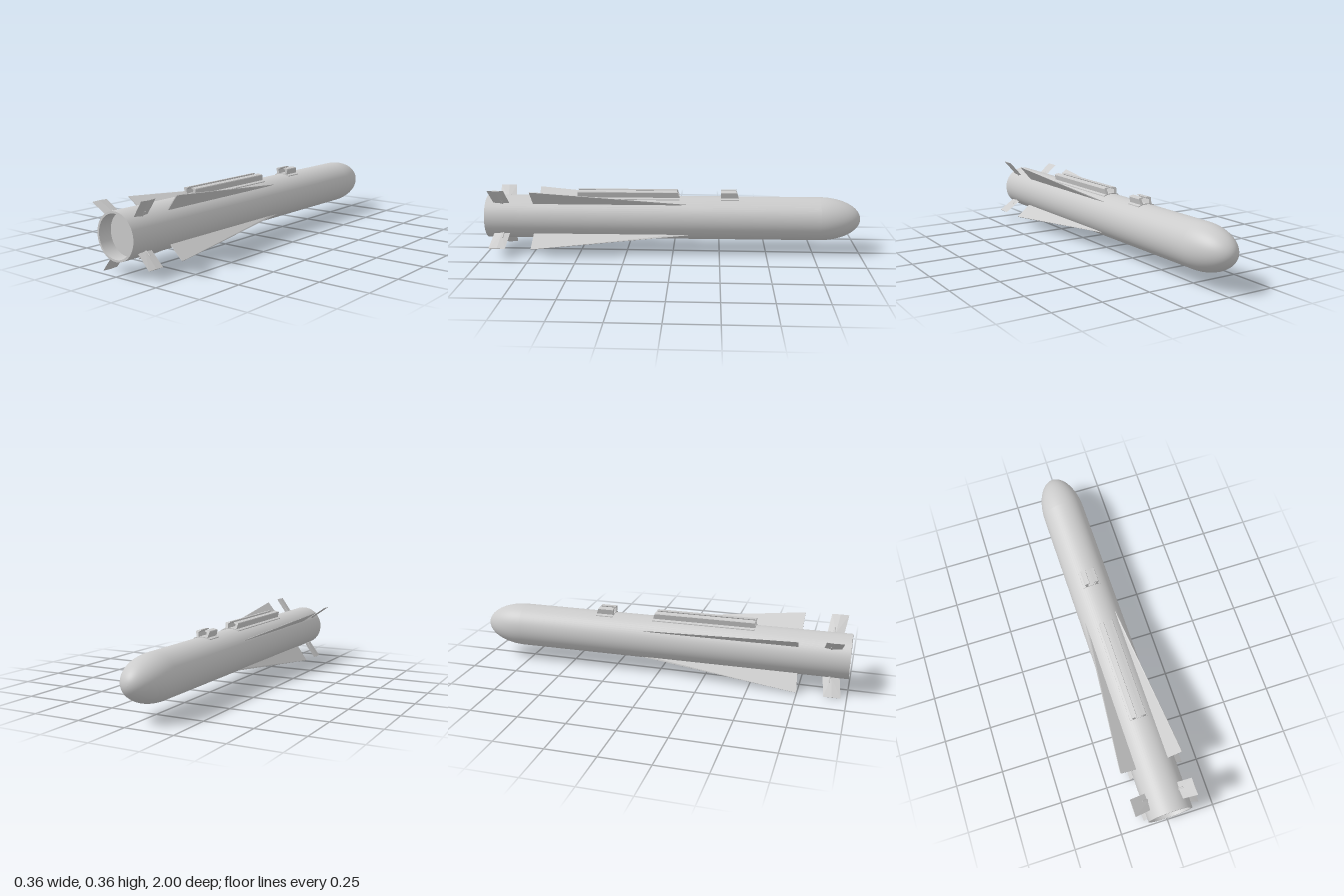
import * as THREE from 'three';
import { ConvexGeometry } from 'three/addons/geometries/ConvexGeometry.js';

const R = 0.1155; // body radius
const rad = THREE.MathUtils.degToRad;
const material = new THREE.MeshStandardMaterial({ color: 0xcccccc });

function addMesh(parent, geometry, name) {
  const mesh = new THREE.Mesh(geometry, material);
  mesh.name = name;
  parent.add(mesh);
  return mesh;
}

// Lathe along z: profile points are [radius, z]
function latheZ(points) {
  const profile = points.map(([r, z]) => new THREE.Vector2(r, z));
  return new THREE.LatheGeometry(profile, 64).rotateX(Math.PI / 2);
}

// Convex blade lying in the x (span) / z (chord) plane, y is thickness
const blade = (points) => new ConvexGeometry(points.map((p) => new THREE.Vector3(...p)));

function wingGeometry() {
  const points = [];
  for (const s of [-1, 1]) {
    points.push([0.108, s * 0.003, 0.742], [0.215, s * 0.002, 0.748],
      [0.108, s * 0.003, -0.08], [0.213, s * 0.002, 0.72]);
  }
  points.push([0.108, 0, -0.15]);
  return blade(points);
}

// Diamond section, slightly swept and thinner at the tip
function tailFinGeometry() {
  const points = [];
  for (const [x, z0, z1, t] of [[0.118, 0.87, 0.955, 0.0045], [0.22, 0.883, 0.97, 0.0025]]) {
    const mid = (z0 + z1) / 2;
    points.push([x, 0, z0], [x, 0, z1], [x, t, mid], [x, -t, mid]);
  }
  return blade(points);
}

// Extrude a profile from z0 to z1, raking the forward end back with height
function extrudeZ(shape, z0, z1, rake = 0) {
  const g = new THREE.ExtrudeGeometry(shape, { depth: z1 - z0, bevelEnabled: false, curveSegments: 12 });
  const p = g.attributes.position;
  for (let i = 0; i < p.count; i++) {
    const front = p.getZ(i) < 1e-6;
    p.setZ(i, p.getZ(i) + z0 + (front ? Math.max(0, p.getY(i) - R) * rake : 0));
  }
  g.computeVertexNormals();
  return g;
}

// Mounting shoe: curved saddle with two inward hooked rails
function mountingShoe(name, z0, z1) {
  const group = new THREE.Group();
  group.name = name;
  const a = 0.43, up = Math.PI / 2;
  const saddle = new THREE.Shape();
  saddle.absarc(0, 0, 0.1195, up - a * 0.93, up + a * 0.93, false);
  saddle.absarc(0, 0, 0.112, up + a, up - a, true);
  addMesh(group, extrudeZ(saddle, z0, z1), 'saddle');

  const hook = [[0.017, 0.113], [0.031, 0.113], [0.038, 0.143], [0.036, 0.147],
    [0.013, 0.151], [0.011, 0.146], [0.021, 0.142], [0.023, 0.138]];
  for (const side of [1, -1]) {
    const shape = new THREE.Shape(hook.map(([x, y]) => new THREE.Vector2(side * x, y)));
    addMesh(group, extrudeZ(shape, z0, z1, 0.4), side > 0 ? 'leftRail' : 'rightRail');
  }
  return group;
}

export function createModel() {
  const model = new THREE.Group();
  model.name = 'missile';
  // The whole body is yawed very slightly
  const body = new THREE.Group();
  body.name = 'airframe';
  body.position.set(-0.0084, 0.188, 0);
  body.rotation.y = 0.0114;
  model.add(body);

  // Rounded nose
  const nose = [];
  for (let i = 0; i <= 20; i++) {
    const t = (i / 20) * Math.PI / 2;
    nose.push([R * Math.sin(t), -0.78 - 0.22 * Math.cos(t)]);
  }
  addMesh(body, latheZ(nose), 'nose');

  // Tube, tail rim, recess wall and recessed end plate
  addMesh(body, latheZ([[R, -0.78], [R, 1]]), 'tube');
  addMesh(body, latheZ([[R, 1], [0.105, 1]]), 'tailRim');
  addMesh(body, latheZ([[0.105, 1], [0.105, 0.93]]), 'nozzleWall');
  addMesh(body, latheZ([[0.105, 0.93], [0, 0.93]]), 'endPlate');

  // Long tapered wings
  const wing = wingGeometry();
  for (const angle of [50, 146, 236, -40]) {
    addMesh(body, wing, 'wing').rotation.z = rad(angle);
  }

  // Tail fins on pivot pins
  const fin = tailFinGeometry();
  const pin = new THREE.CylinderGeometry(0.006, 0.006, 0.042, 12).rotateZ(Math.PI / 2).translate(0.127, 0, 0.905);
  for (const angle of [51, 143.6, 236.5, -37.5]) {
    const assembly = new THREE.Group();
    assembly.name = 'tailFin';
    assembly.rotation.z = rad(angle);
    addMesh(assembly, fin, 'finBlade');
    addMesh(assembly, pin, 'finPivot');
    body.add(assembly);
  }

  // Launch rails on top
  body.add(mountingShoe('rearShoe', -0.035, 0.51));
  body.add(mountingShoe('frontShoe', -0.35, -0.255));
  return model;
}
